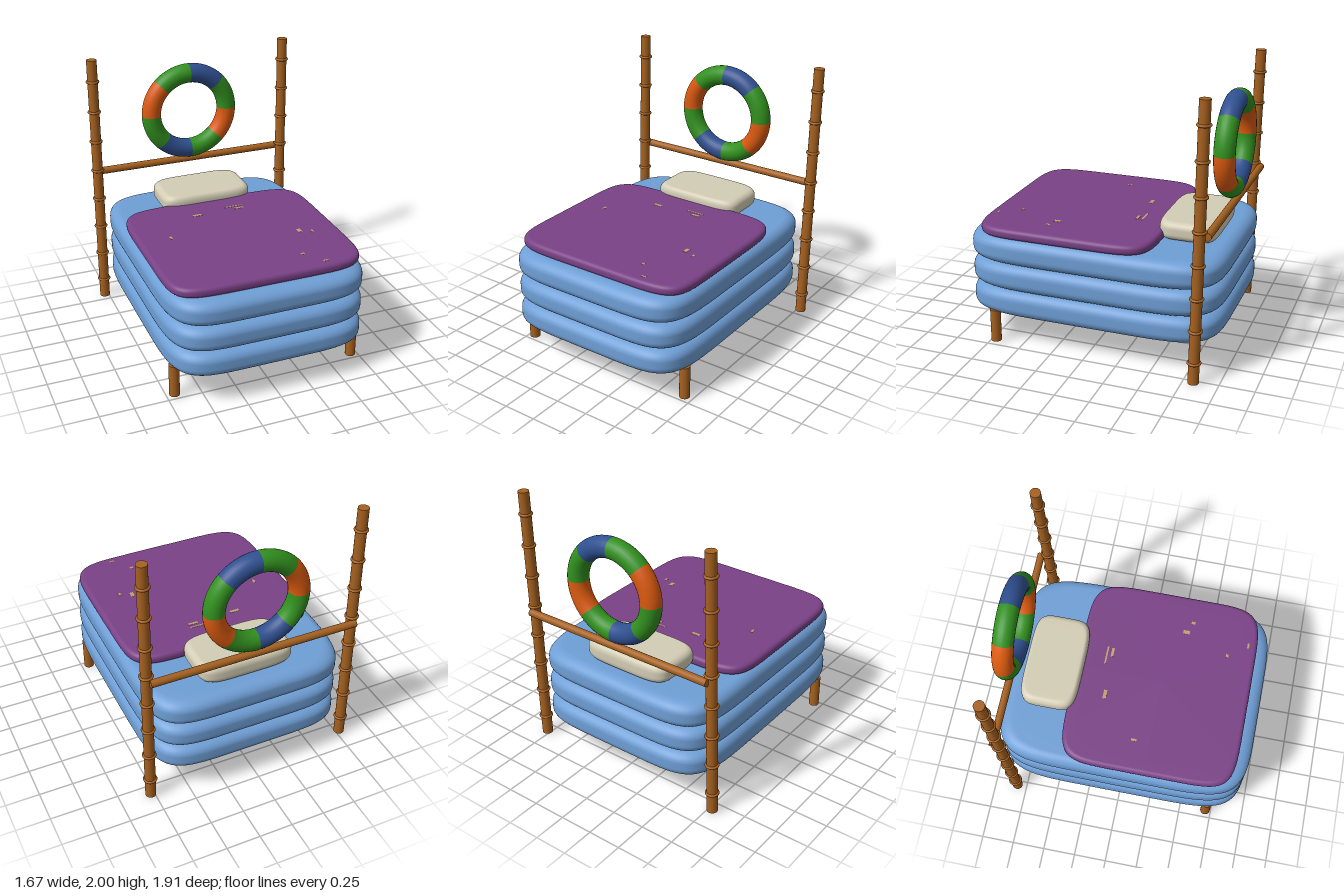
import * as THREE from 'three';
import { mergeVertices } from 'three/addons/utils/BufferGeometryUtils.js';

const material = (name, color) => {
  const m = new THREE.MeshStandardMaterial({ color });
  m.name = name;
  return m;
};

// Soft rectangular cushion: a lathe whose round outline is squared into a superellipse
function cushionGeometry(hx, hz, y0, y1, round, n = 6) {
  const pts = [new THREE.Vector2(0, y0), new THREE.Vector2((hx - round) * 0.9, y0)];
  for (const top of [false, true]) {
    for (let i = 0; i <= 8; i++) {
      const a = (i / 8) * Math.PI / 2 - (top ? 0 : Math.PI / 2);
      pts.push(new THREE.Vector2(
        hx - round + round * Math.cos(a),
        (top ? y1 - round : y0 + round) + round * Math.sin(a)));
    }
  }
  pts.push(new THREE.Vector2((hx - round) * 0.9, y1), new THREE.Vector2(0, y1));
  const g = new THREE.LatheGeometry(pts, 80);
  const p = g.attributes.position;
  const squared = (v) => Math.sign(v) * Math.abs(v) ** (2 / n);
  for (let i = 0; i < p.count; i++) {
    const r = Math.hypot(p.getX(i), p.getZ(i));
    const a = Math.atan2(p.getX(i), p.getZ(i));
    p.setX(i, squared(Math.sin(a)) * r);
    p.setZ(i, squared(Math.cos(a)) * r * hz / hx);
  }
  g.deleteAttribute('uv');
  g.deleteAttribute('normal');
  const merged = mergeVertices(g, 1e-4);
  merged.computeVertexNormals();
  return merged;
}

export function createModel() {
  const model = new THREE.Group();
  const wood = material('wood', 0xa6611f);
  const mattressBlue = material('mattress blue', 0x6f9fd6);
  const purple = material('blanket purple', 0x7a4186);
  const cream = material('pillow cream', 0xd3cdb5);
  const tan = material('worn tan', 0xc0a070);
  const green = material('ring green', 0x32911f);
  const blue = material('ring blue', 0x2f5090);
  const orange = material('ring orange', 0xdb5a10);

  const add = (name, geometry, mat, x = 0, y = 0, z = 0, parent = model) => {
    const m = new THREE.Mesh(geometry, mat);
    m.name = name;
    m.position.set(x, y, z);
    parent.add(m);
    return m;
  };

  // Three stacked mattresses
  for (let i = 0; i < 3; i++) {
    const y = 0.23 + i * 0.2;
    add('mattress', cushionGeometry(0.75, 0.955, y, y + 0.2, 0.075), mattressBlue);
  }

  // Blanket and pillow
  add('blanket', cushionGeometry(0.725, 0.66, 0.828, 0.904, 0.032, 7), purple, 0, 0, 0.2);
  add('pillow', cushionGeometry(0.358, 0.215, 0.835, 0.97, 0.05, 5), cream, 0, 0, -0.615);

  // Small worn patches on the blanket: x, z, width, depth
  const patches = [
    [-0.18, -0.2, 0.07, 0.025], [0.16, -0.21, 0.07, 0.02], [0.13, -0.25, 0.14, 0.012],
    [-0.485, 0.08, 0.018, 0.04], [0.43, 0.31, 0.03, 0.05], [0.515, 0.35, 0.02, 0.03],
    [0.3, 0.645, 0.025, 0.02], [0.41, 0.79, 0.04, 0.015],
  ];
  for (const [x, z, w, d] of patches) {
    add('wornPatch', new THREE.BoxGeometry(w, 0.003, d), tan, x, 0.904, z);
  }

  // Short front legs
  for (const side of [-1, 1]) {
    add('frontLeg', new THREE.CylinderGeometry(0.038, 0.038, 0.25, 24), wood, side * 0.692, 0.135, 0.705);
  }

  // Tall, slightly leaning back posts with raised knots
  for (const side of [-1, 1]) {
    const post = new THREE.Group();
    post.name = 'backPost';
    post.position.set(side * 0.778 + 0.004, 1, -0.84);
    post.rotation.set(-0.015, 0, -0.006);
    add('pole', new THREE.CylinderGeometry(0.039, 0.039, 2, 24), wood, 0, 0, 0, post);
    for (let i = 0; i < 8; i++) {
      const knot = add('knot', new THREE.TorusGeometry(0.041, 0.01, 10, 28), wood, 0, -0.845 + i * 0.2395, 0, post);
      knot.rotation.x = Math.PI / 2;
    }
    model.add(post);
  }

  // Crossbar behind the posts
  const bar = add('crossbar', new THREE.CylinderGeometry(0.028, 0.028, 1.55, 20), wood, 0, 1.08, -0.892);
  bar.rotation.z = Math.PI / 2;

  // Swim ring made of eight coloured arcs
  const ring = new THREE.Group();
  ring.name = 'swimRing';
  ring.position.set(0, 1.491, -0.87);
  const colours = [green, blue, green, orange];
  for (let i = 0; i < 8; i++) {
    const arc = add('ringSegment', new THREE.TorusGeometry(0.312, 0.075, 24, 12, Math.PI / 4), colours[i % 4], 0, 0, 0, ring);
    arc.rotation.z = i * Math.PI / 4;
  }
  model.add(ring);

  return model;
}
